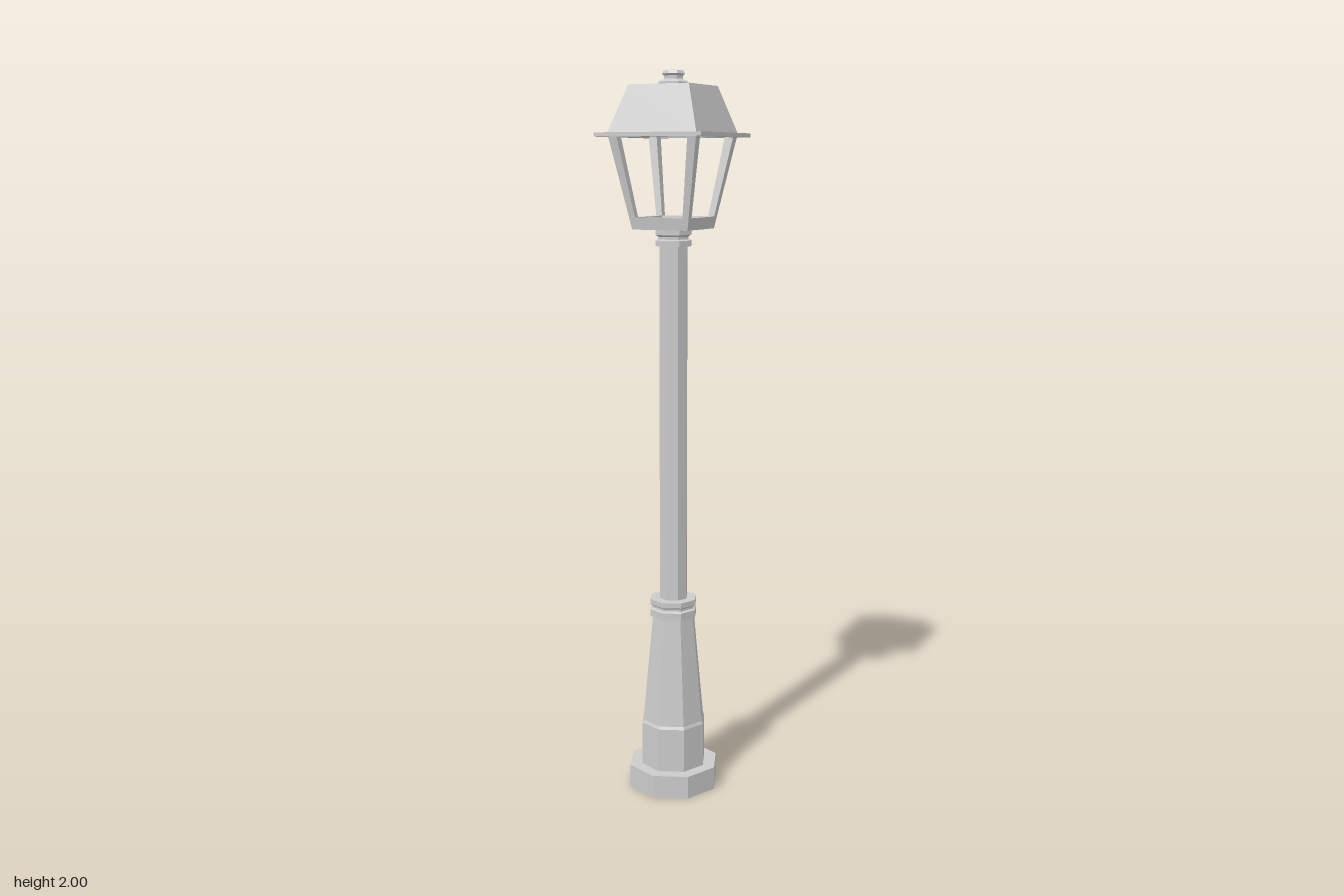
import * as THREE from 'three';

const material = new THREE.MeshStandardMaterial({ color: 0xcccccc, flatShading: true });

function addMesh(parent, name, geometry) {
  const mesh = new THREE.Mesh(geometry, material);
  mesh.name = name;
  parent.add(mesh);
  return mesh;
}

// Eight-sided turned part from [radius, height] points, bottom to top
function octagonal(profile) {
  return new THREE.LatheGeometry(profile.map(([r, y]) => new THREE.Vector2(r, y)), 8);
}

// Square part from [half width, height] points, sides facing the axes
function square(profile) {
  const points = profile.map(([w, y]) => new THREE.Vector2(w * Math.SQRT2, y));
  return new THREE.LatheGeometry(points, 4, Math.PI / 4);
}

// Leaning, tapering corner post: inner and outer faces given at both ends
function postGeometry(bottom, top) {
  const geometry = new THREE.BoxGeometry(1, 1, 1);
  const p = geometry.attributes.position;
  for (let i = 0; i < p.count; i++) {
    const end = p.getY(i) > 0 ? top : bottom;
    p.setXYZ(i,
      p.getX(i) > 0 ? end.outer : end.inner,
      end.y,
      p.getZ(i) > 0 ? end.outer : end.inner);
  }
  return geometry;
}

export function createModel() {
  const model = new THREE.Group();
  model.name = 'streetLamp';

  // Foot and tapered pedestal with a double-ring collar
  addMesh(model, 'foot', octagonal([[0, 0], [0.13, 0], [0.13, 0.065], [0, 0.065]]));
  addMesh(model, 'pedestal', octagonal([
    [0.094, 0.06], [0.094, 0.19], [0.09, 0.198], [0.061, 0.505]]));
  addMesh(model, 'pedestalCollar', octagonal([
    [0.04, 0.505], [0.068, 0.505], [0.068, 0.525], [0.061, 0.529],
    [0.061, 0.535], [0.068, 0.54], [0.068, 0.555], [0.04, 0.555]]));

  // Pole and its upper collar
  addMesh(model, 'pole', octagonal([[0.04, 0.5], [0.04, 1.59]]));
  addMesh(model, 'poleCollar', octagonal([
    [0.039, 1.54], [0.051, 1.54], [0.051, 1.555], [0.043, 1.558],
    [0.043, 1.565], [0.051, 1.57], [0.051, 1.587], [0.039, 1.587]]));

  // Lantern: tray, four posts and roof
  const lantern = new THREE.Group();
  lantern.name = 'lantern';
  model.add(lantern);

  addMesh(lantern, 'tray', square([
    [0, 1.585], [0.082, 1.585], [0.088, 1.617], [0.07, 1.617], [0.068, 1.598], [0, 1.598]]));

  const post = postGeometry(
    { y: 1.61, inner: 0.069, outer: 0.0865 },
    { y: 1.835, inner: 0.104, outer: 0.129 });
  for (let i = 0; i < 4; i++) {
    addMesh(lantern, 'cornerPost', post).rotation.y = i * Math.PI / 2;
  }

  // Roof with a thin brim and a shallow recess underneath
  addMesh(lantern, 'roof', square([
    [0, 1.865], [0.115, 1.865], [0.125, 1.826], [0.155, 1.826], [0.155, 1.837],
    [0.129, 1.837], [0.088, 1.96], [0, 1.96]]));

  addMesh(lantern, 'finial', octagonal([
    [0.042, 1.955], [0.042, 1.968], [0.035, 1.972], [0.026, 1.976],
    [0.026, 1.984], [0.032, 1.989], [0.028, 1.997], [0, 2]]));

  return model;
}
